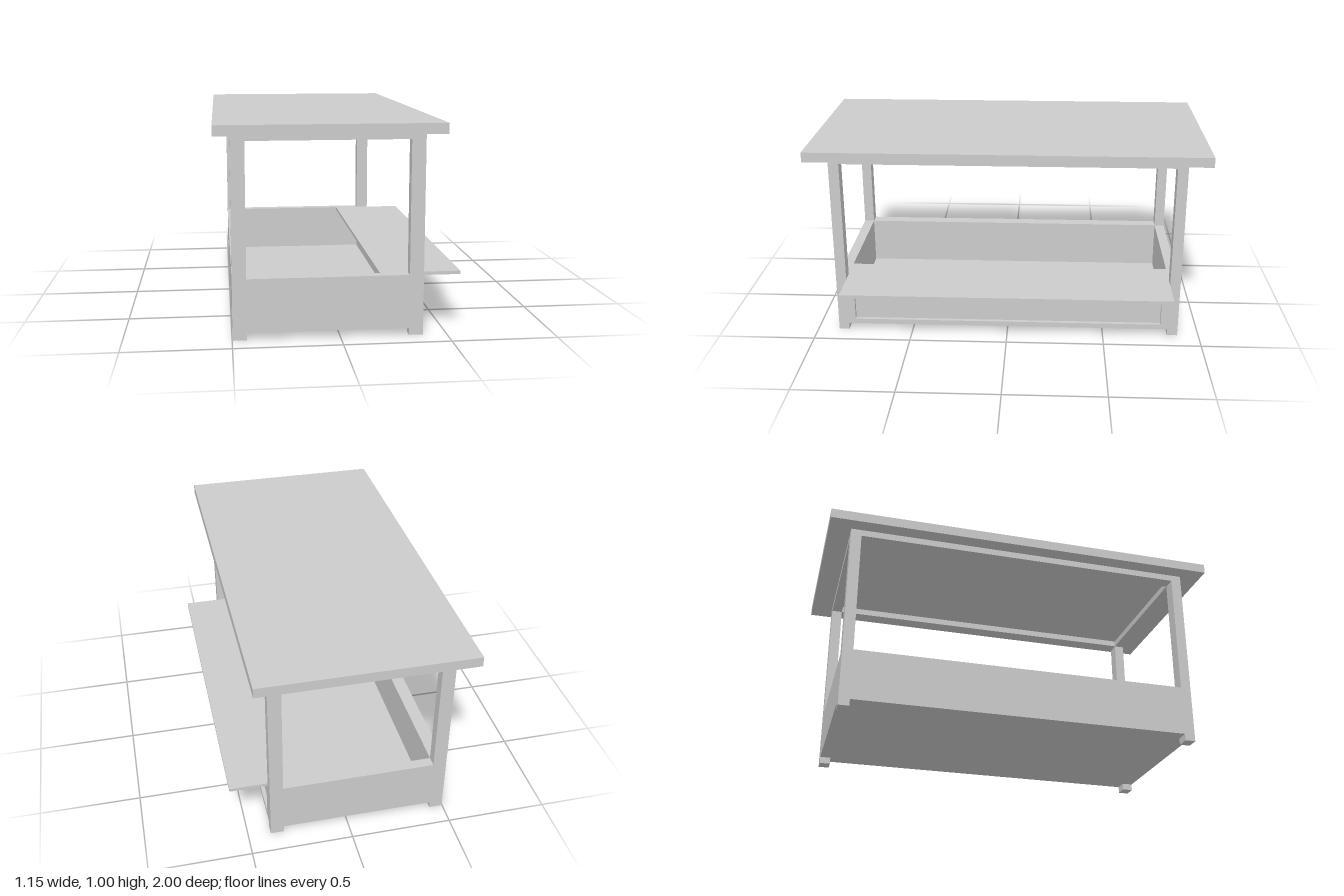
import * as THREE from 'three';

const material = new THREE.MeshStandardMaterial({ color: 0xcccccc });

// Main dimensions
const LEFT = -0.498, RIGHT = 0.388, POST = 0.066; // outer faces in x, post width
const INNER_L = LEFT + POST, INNER_R = RIGHT - POST;
const END = 0.89, INNER_Z = 0.837; // outer and inner faces of the end frames
const BASE = 0.034, RIM = 0.288, BEAM = 0.918, EAVES = 0.951;
const SHELF_BOTTOM = 0.272, RECESS = 0.02;

export function createModel() {
  const model = new THREE.Group();

  const add = (name, geometry) => {
    const mesh = new THREE.Mesh(geometry, material);
    mesh.name = name;
    model.add(mesh);
    return mesh;
  };
  // Box given by its lower and upper limits
  const box = (name, x0, x1, y0, y1, z0, z1) => {
    const mesh = add(name, new THREE.BoxGeometry(x1 - x0, y1 - y0, z1 - z0));
    mesh.position.set((x0 + x1) / 2, (y0 + y1) / 2, (z0 + z1) / 2);
    return mesh;
  };
  const outline = (points) => points.map(([x, y]) => new THREE.Vector2(x, y));
  const rect = (x0, x1, y0, y1) => outline([[x0, y0], [x1, y0], [x1, y1], [x0, y1]]);

  // End frames: two posts with feet, a solid lower panel and a top beam
  const frame = new THREE.Shape(outline([
    [LEFT, 0], [INNER_L, 0], [INNER_L, BASE], [INNER_R, BASE],
    [INNER_R, 0], [RIGHT, 0], [RIGHT, EAVES], [LEFT, EAVES],
  ]));
  frame.holes.push(new THREE.Path(rect(INNER_L, INNER_R, RIM, BEAM)));
  const frameGeometry = new THREE.ExtrudeGeometry(frame, { depth: END - INNER_Z, bevelEnabled: false });
  add('frontFrame', frameGeometry).position.z = INNER_Z;
  add('backFrame', frameGeometry).position.z = -END;

  // Top beams along both long sides
  box('rightBeam', LEFT, INNER_L, BEAM, EAVES, -INNER_Z, INNER_Z);
  box('leftBeam', INNER_R, RIGHT, BEAM, EAVES, -INNER_Z, INNER_Z);

  // Tray: plain wall, floor, and a counter wall with a recessed panel
  box('plainWall', LEFT, INNER_L, BASE, RIM, -INNER_Z, INNER_Z);
  box('trayFloor', INNER_L, INNER_R, BASE, 0.041, -INNER_Z, INNER_Z);
  box('counterWall', INNER_R, RIGHT - RECESS, BASE, SHELF_BOTTOM, -INNER_Z, INNER_Z);
  const surround = new THREE.Shape(rect(-INNER_Z, INNER_Z, BASE, SHELF_BOTTOM));
  surround.holes.push(new THREE.Path(rect(-0.8, 0.8, 0.06, 0.256)));
  const trim = add('panelSurround', new THREE.ExtrudeGeometry(surround, { depth: RECESS, bevelEnabled: false }));
  trim.rotation.y = Math.PI / 2;
  trim.position.x = RIGHT - RECESS;

  // Serving shelf, reaching inside and outside the counter wall
  box('shelf', 0.19, 0.574, SHELF_BOTTOM, RIM, -INNER_Z, INNER_Z);

  // Flat roof
  box('roof', -0.574, 0.465, EAVES, 1, -1, 1);

  return model;
}
